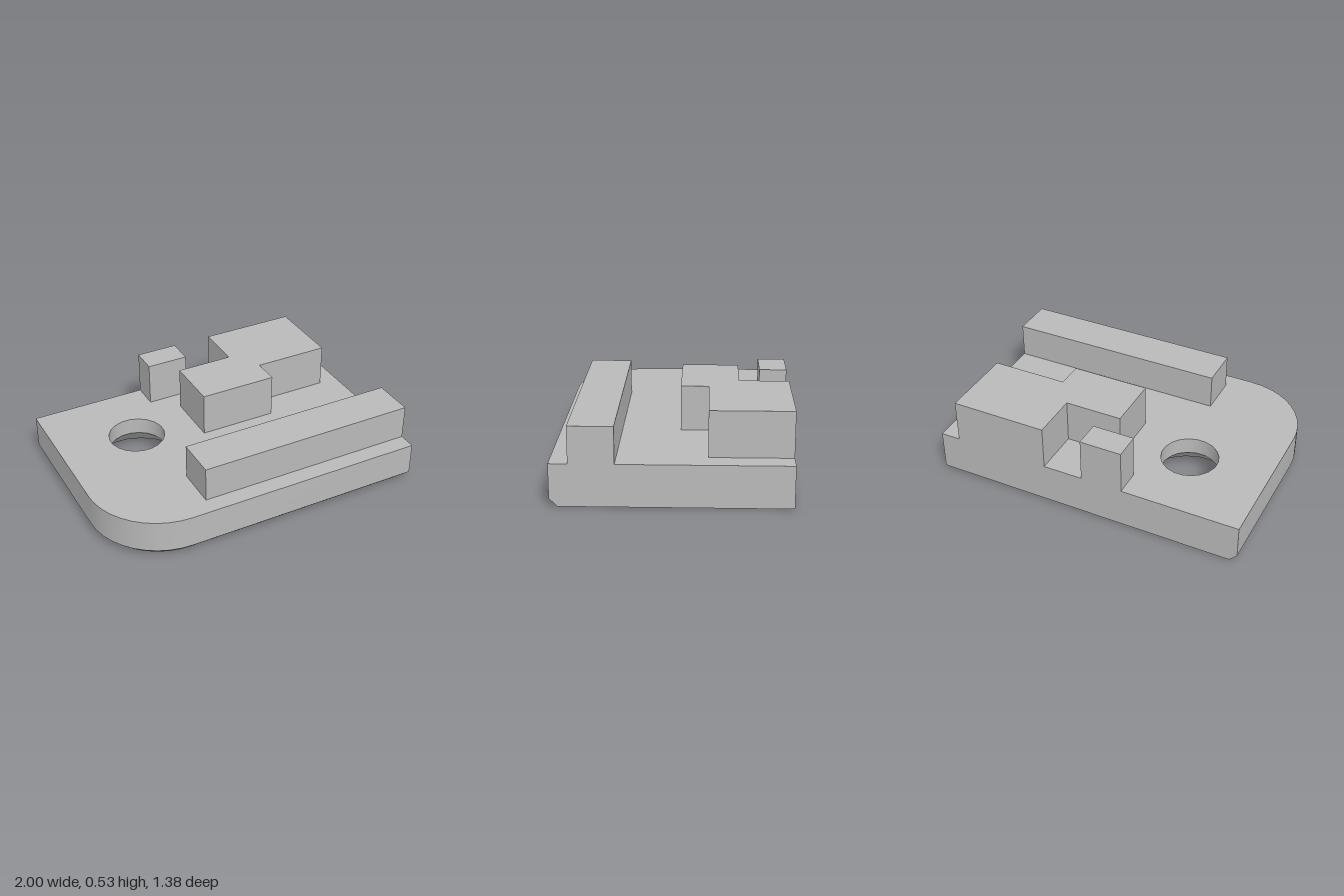
import * as THREE from 'three';
import { toCreasedNormals } from 'three/addons/utils/BufferGeometryUtils.js';

const BASE_TOP = 0.255, CHAMFER = 0.048, BACK = -0.69, FRONT = 0.69;
const CORNER = 0.46;

// Plate outline in x/z, pulled in on the right side and the front only
function outline(inset) {
  const pts = [[1, BACK], [-1 + inset, BACK]];
  const cx = -1 + CORNER, cz = FRONT - CORNER, r = CORNER - inset, n = 10;
  for (let i = 0; i <= n; i++) {
    const a = (i / n) * Math.PI / 2;
    pts.push([cx - r * Math.cos(a), cz + r * Math.sin(a)]);
  }
  pts.push([1, FRONT - inset]);
  return pts;
}

function circle(r, n = 20) {
  return Array.from({ length: n }, (_, i) => {
    const a = ((i + 0.5) / n) * Math.PI * 2;
    return [-0.49 + r * Math.cos(a), -0.218 + r * Math.sin(a)];
  });
}

const toVectors = (pts) => pts.map(([x, z]) => new THREE.Vector2(x, z));

// Plate with a rounded corner, chamfered lower edge and countersunk hole
function plateGeometry() {
  const pos = [];
  const wall = (low, y0, high, y1) => {
    for (let i = 0; i < low.length; i++) {
      const j = (i + 1) % low.length;
      const a = [low[i][0], y0, low[i][1]], b = [low[j][0], y0, low[j][1]];
      const c = [high[j][0], y1, high[j][1]], d = [high[i][0], y1, high[i][1]];
      pos.push(...a, ...b, ...c, ...a, ...c, ...d);
    }
  };
  const cap = (edge, hole, y, up) => {
    const shape = new THREE.Shape(toVectors(edge));
    shape.holes.push(new THREE.Path(toVectors(hole)));
    const g = new THREE.ShapeGeometry(shape);
    const p = g.attributes.position, idx = Array.from(g.index.array);
    if (up) idx.reverse();
    for (const i of idx) pos.push(p.getX(i), y, p.getY(i));
  };
  const outer = outline(0), inner = outline(CHAMFER);
  const bore = circle(0.178), sink = circle(0.323), sinkTop = 0.147;
  cap(inner, sink, 0, false);
  wall(inner, 0, outer, CHAMFER);
  wall(outer, CHAMFER, outer, BASE_TOP);
  cap(outer, bore, BASE_TOP, true);
  wall(sink, 0, bore, sinkTop);
  wall(bore, sinkTop, bore, BASE_TOP);
  const g = new THREE.BufferGeometry();
  g.setAttribute('position', new THREE.Float32BufferAttribute(pos, 3));
  return toCreasedNormals(g, 0.5);
}

// Upright block standing on the plate, from an x/z outline
function blockGeometry(pts, top) {
  const shape = new THREE.Shape(pts.map(([x, z]) => new THREE.Vector2(x, -z)));
  const g = new THREE.ExtrudeGeometry(shape, { depth: top - BASE_TOP, bevelEnabled: false });
  return g.rotateX(-Math.PI / 2).translate(0, BASE_TOP, 0);
}

const rect = (x0, x1, z0, z1) => [[x0, z0], [x1, z0], [x1, z1], [x0, z1]];

export function createModel() {
  const group = new THREE.Group();
  const grey = new THREE.MeshStandardMaterial({ color: 0xbababa });
  grey.name = 'grey';
  const add = (name, geometry) => {
    const mesh = new THREE.Mesh(geometry, grey);
    mesh.name = name;
    group.add(mesh);
  };

  add('basePlate', plateGeometry());
  add('frontRail', blockGeometry(rect(-0.4, 1, 0.318, 0.58), 0.476));
  add('backPost', blockGeometry(rect(-0.256, 0.01, BACK, -0.52), 0.532));
  add('steppedBlock', blockGeometry([
    [-0.1, -0.387], [0.263, -0.387], [0.263, BACK], [0.873, BACK],
    [0.873, -0.203], [0.392, -0.203], [0.392, -0.035], [-0.1, -0.035],
  ], 0.532));
  return group;
}
